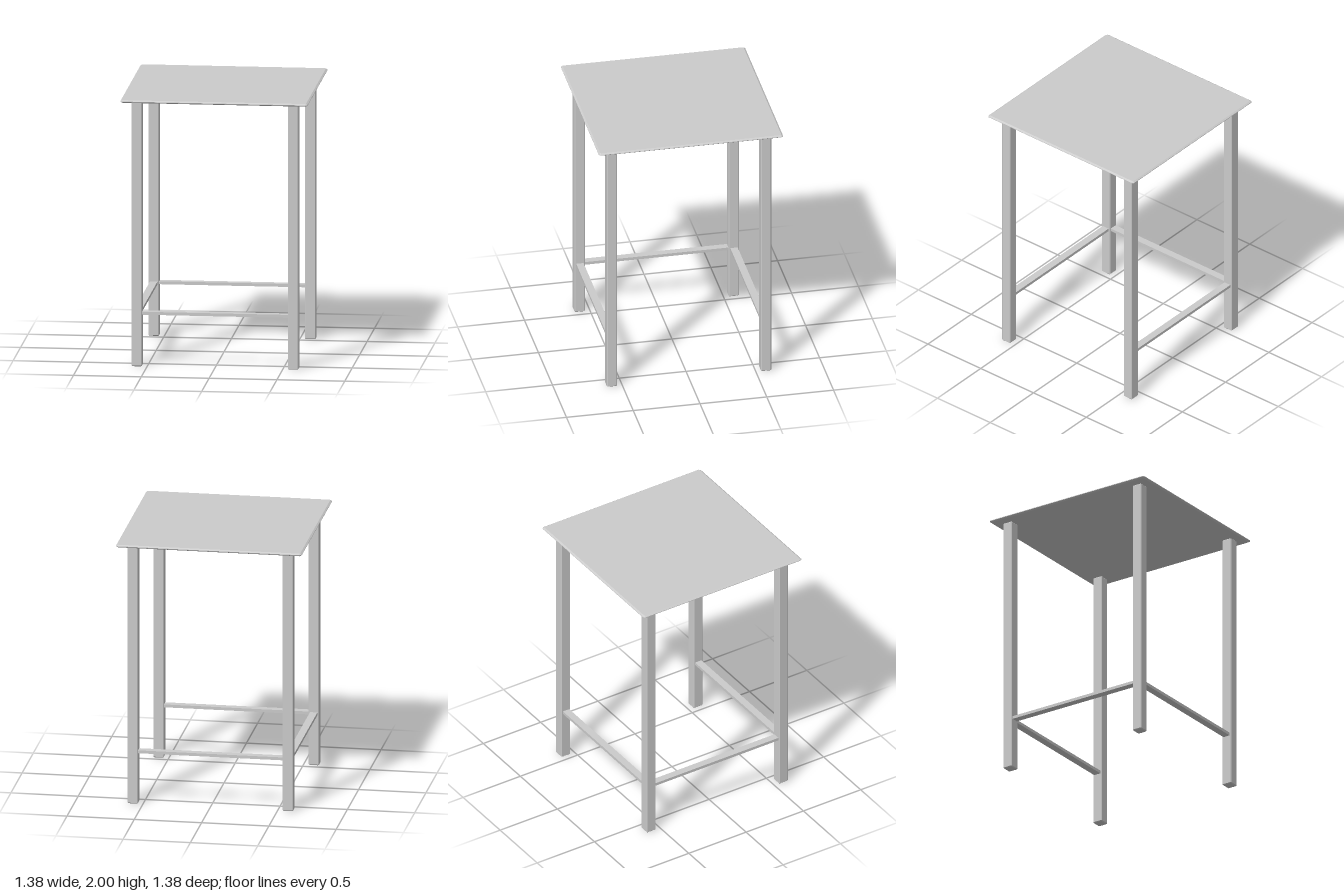
import * as THREE from 'three';

const material = new THREE.MeshStandardMaterial({ color: 0xcccccc, flatShading: true });

// Upright square block, standing on y = 0, with every edge chamfered
function chamferedBlock(size, height, cut, bevelHeight) {
  const h = size / 2, k = h - cut;
  const outline = new THREE.Shape([
    [h, -k], [h, k], [k, h], [-k, h], [-h, k], [-h, -k], [-k, -h], [k, -h],
  ].map(([x, y]) => new THREE.Vector2(x, y)));
  const geometry = new THREE.ExtrudeGeometry(outline, {
    depth: height - 2 * bevelHeight,
    bevelSegments: 1,
    bevelSize: cut,
    bevelOffset: -cut,
    bevelThickness: bevelHeight,
  });
  return geometry.translate(0, 0, bevelHeight).rotateX(-Math.PI / 2);
}

export function createModel() {
  const group = new THREE.Group();
  const add = (name, geometry, x, y, z) => {
    const mesh = new THREE.Mesh(geometry, material);
    mesh.name = name;
    mesh.position.set(x, y, z);
    group.add(mesh);
  };

  const legCentre = 0.577, legSize = 0.078, topThickness = 0.02;
  const legHeight = 2 - topThickness;

  // Thin square top with bevelled rim
  add('tableTop', chamferedBlock(1.38, topThickness, 0.012, 0.008), 0, legHeight, 0);

  // Four legs
  const leg = chamferedBlock(legSize, legHeight, 0.006, 0.006);
  for (const x of [-1, 1]) {
    for (const z of [-1, 1]) {
      add(`${z > 0 ? 'front' : 'back'}${x > 0 ? 'Left' : 'Right'}Leg`, leg, x * legCentre, 0, z * legCentre);
    }
  }

  // Flat stretchers on three sides; the left side stays open
  const span = 2 * legCentre - legSize, barWidth = 0.055, barHeight = 0.022, barY = 0.396;
  const crossBar = new THREE.BoxGeometry(span, barHeight, barWidth);
  add('frontStretcher', crossBar, 0, barY, legCentre);
  add('backStretcher', crossBar, 0, barY, -legCentre);
  add('rightStretcher', new THREE.BoxGeometry(barWidth, barHeight, span), -legCentre, barY, 0);

  return group;
}
